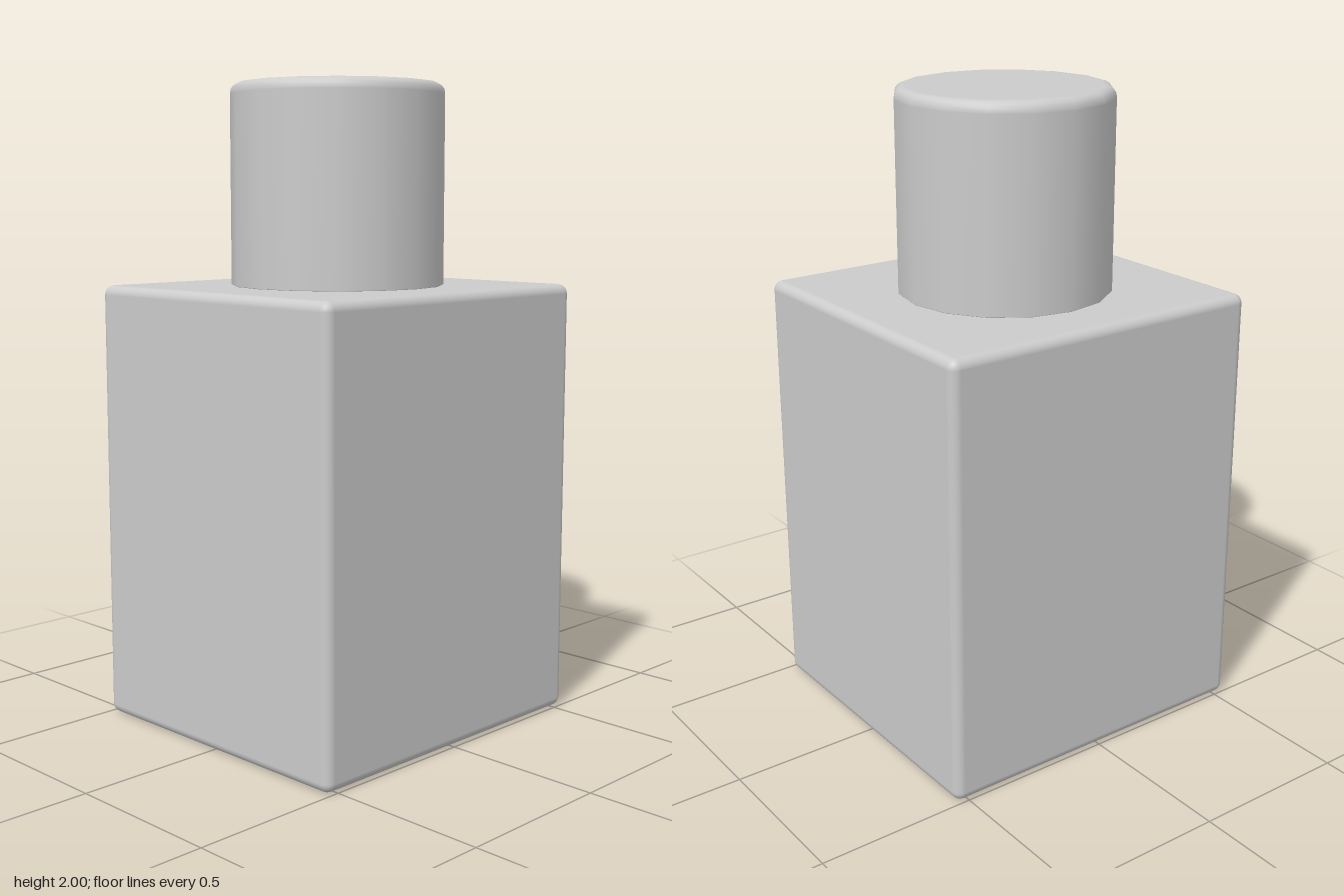
import * as THREE from 'three';
import { RoundedBoxGeometry } from 'three/addons/geometries/RoundedBoxGeometry.js';

const BODY = { width: 1.085, height: 1.38, depth: 1.0, bevel: 0.03 };
const CAP = { radius: 0.332, top: 2, bevel: 0.03, sides: 16 };

// Half outline of the cap, from the bottom centre up to the top centre
function capProfile() {
  const { radius, top, bevel } = CAP;
  const bottom = BODY.height;
  const points = [
    new THREE.Vector2(0, bottom),
    new THREE.Vector2(radius - 0.002, bottom),
    new THREE.Vector2(radius, bottom + 0.002),
    new THREE.Vector2(radius, top - bevel - 0.005),
  ];
  // Rounded top rim
  const steps = 4;
  for (let i = 0; i <= steps; i++) {
    const a = (i / steps) * Math.PI / 2;
    points.push(new THREE.Vector2(
      radius - bevel + bevel * Math.cos(a),
      top - bevel + bevel * Math.sin(a)));
  }
  points.push(new THREE.Vector2(radius - bevel - 0.005, top), new THREE.Vector2(0, top));
  return points;
}

export function createModel() {
  const group = new THREE.Group();
  group.name = 'bottle';
  const material = new THREE.MeshStandardMaterial({ color: 0xcccccc });

  // Square body with softly rounded edges
  const body = new THREE.Mesh(
    new RoundedBoxGeometry(BODY.width, BODY.height, BODY.depth, 3, BODY.bevel), material);
  body.name = 'body';
  body.position.y = BODY.height / 2;
  group.add(body);

  // Sixteen-sided cap resting on the body
  const cap = new THREE.Mesh(new THREE.LatheGeometry(capProfile(), CAP.sides), material);
  cap.name = 'cap';
  group.add(cap);

  return group;
}
